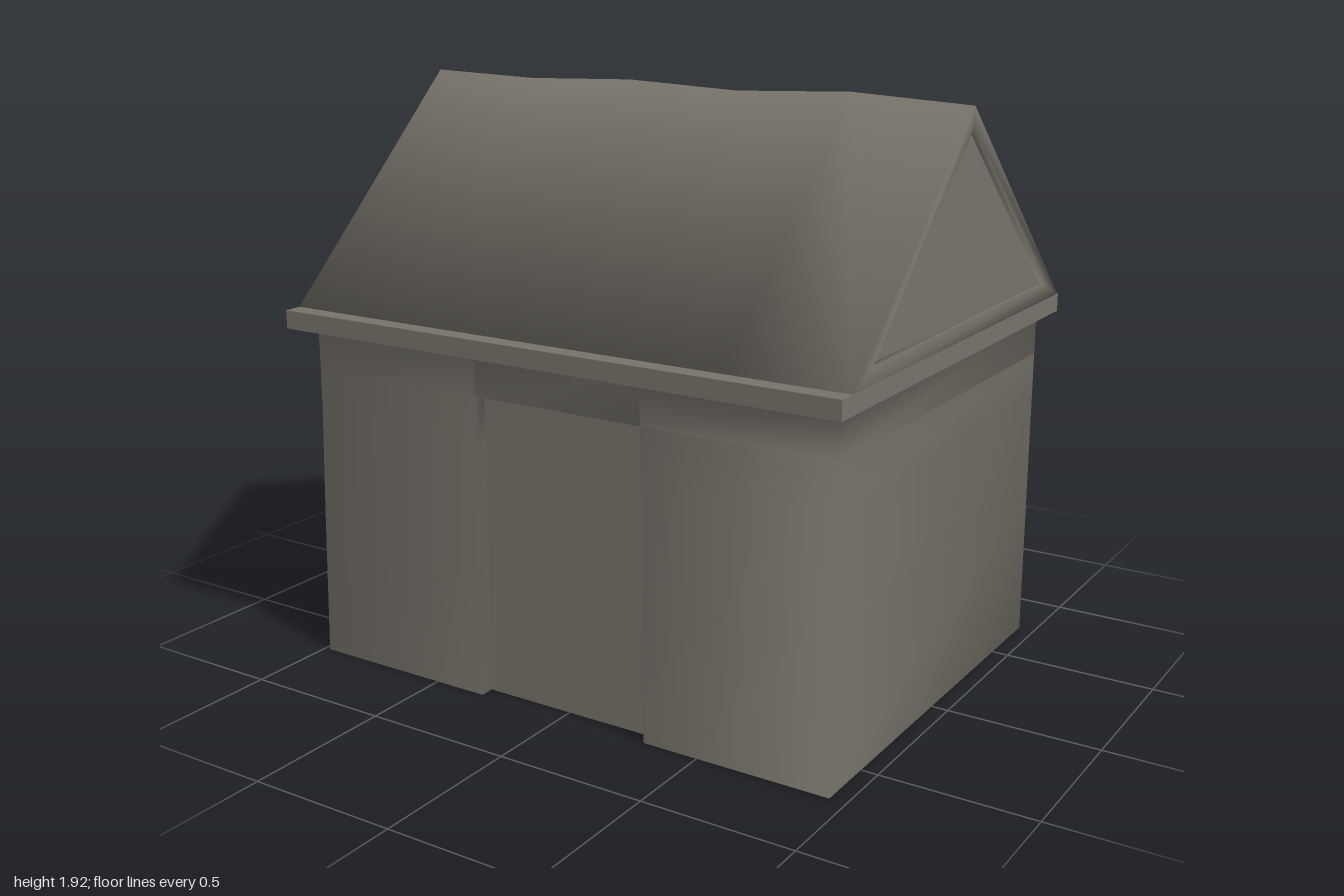
import * as THREE from 'three';

const stone = new THREE.MeshStandardMaterial({ color: 0x77736a });
stone.name = 'weathered stone';

function part(parent, name, geometry) {
  const mesh = new THREE.Mesh(geometry, stone);
  mesh.name = name;
  parent.add(mesh);
  return mesh;
}

// Skin closed rings of [x, y, z] points with shared, smooth normals
function loft(rings) {
  const n = rings[0].length, index = [];
  for (let i = 0; i < rings.length - 1; i++) {
    for (let j = 0; j < n; j++) {
      const k = (j + 1) % n;
      const a = i * n + j, b = i * n + k, c = a + n, d = b + n;
      index.push(a, b, d, a, d, c);
    }
  }
  const g = new THREE.BufferGeometry();
  g.setAttribute('position', new THREE.Float32BufferAttribute(rings.flat(2), 3));
  g.setIndex(index);
  g.computeVertexNormals();
  return g;
}

function flatShape(points) {
  return new THREE.ShapeGeometry(new THREE.Shape(points.map(([x, y]) => new THREE.Vector2(x, y))));
}

// Wall outline in plan, with a doorway notch of the given depth in the front
function wallRing(y, left, doorHalf, depth) {
  return [
    [left, y, 0.7], [-doorHalf, y, 0.7], [-doorHalf, y, 0.7 - depth],
    [doorHalf, y, 0.7 - depth], [doorHalf, y, 0.7], [0.945, y, 0.7],
    [0.945, y, -0.745], [left, y, -0.745],
  ];
}

export function createModel() {
  const house = new THREE.Group();
  house.name = 'house';
  const depth = 0.05;

  // Walls, leaning slightly out at the left foot, flaring into the soffit
  const foot = wallRing(0, -0.98, 0.312, depth);
  const soffit = wallRing(1.146, -0.98, 0.305, 0)
    .map(([x, y, z]) => [Math.abs(x) > 0.5 ? Math.sign(x) * 0.995 : x, y, Math.sign(z) * 0.785]);
  part(house, 'walls', loft([
    foot,
    wallRing(0.5, -0.965, 0.309, depth),
    wallRing(0.85, -0.952, 0.306, depth),
    wallRing(1, -0.95, 0.305, depth),
    wallRing(1, -0.95, 0.305, 0),
    wallRing(1.145, -0.95, 0.305, 0),
    soffit,
  ]));

  // Underside of the house
  const floor = flatShape(foot.map(([x, , z]) => [x, z]));
  floor.rotateX(Math.PI / 2);
  part(house, 'floor', floor);

  // Door panel at the back of the notch
  const door = part(house, 'door', new THREE.BoxGeometry(0.61, 0.998, 0.008));
  door.position.set(0, 0.5, 0.7 - depth);

  // Eave slab between walls and roof
  const eaves = part(house, 'eaves', new THREE.BoxGeometry(2, 0.06, 1.58));
  eaves.position.y = 1.175;

  // Roof with a wavy ridge and a raised frame round each gable
  const ridge = [1.915, 1.904, 1.917, 1.901, 1.917, 1.897];
  const slopes = ridge.map((y, i) => {
    const x = -1 + 0.4 * i;
    return [[x, y, -0.01], [x, 1.2, 0.735], [x, 1.2, -0.787]];
  });
  const gable = [[1.835, -0.01], [1.255, 0.615], [1.255, -0.665]];
  const frame = (x) => gable.map(([y, z]) => [x, y, z]);
  part(house, 'roof', loft([frame(-0.98), frame(-1), ...slopes, frame(1), frame(0.98)]));

  // Recessed gable panels
  for (const side of [-1, 1]) {
    const g = flatShape(gable.map(([y, z]) => [-side * z, y]));
    g.rotateY(side * Math.PI / 2);
    part(house, side > 0 ? 'leftGable' : 'rightGable', g).position.x = side * 0.98;
  }

  return house;
}
